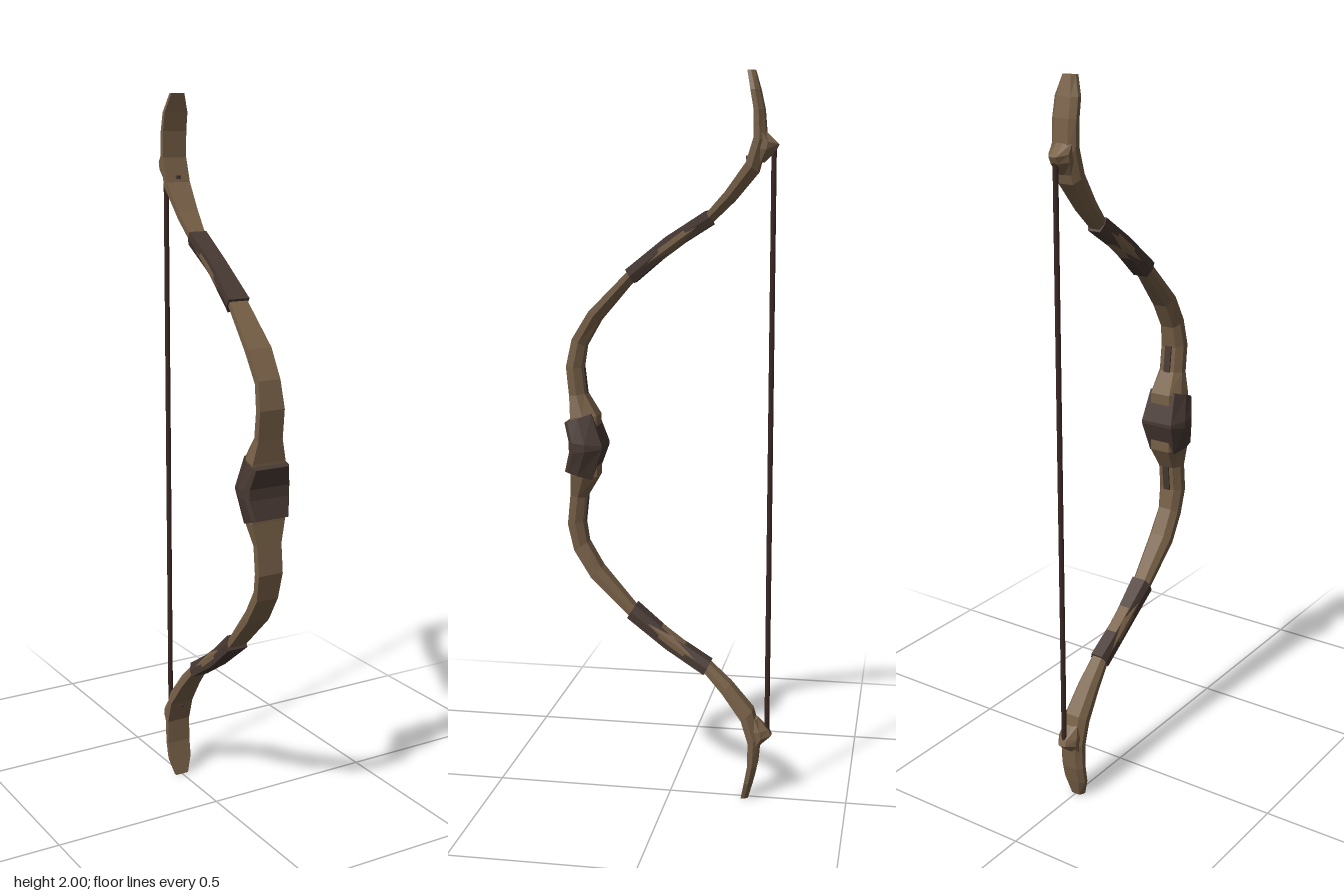
import * as THREE from 'three';

const mat = (name, color) => {
  const m = new THREE.MeshStandardMaterial({ color });
  m.name = name;
  return m;
};

// Cross-section through a bar: front and back points in the (z, y) plane and a half width.
// The front is bevelled to "front" of the width, the back to "back" of it.
function ring([zf, yf, zb, yb, w], front, back) {
  const half = [[front, 0], [1, 0.12], [1, 0.5], [back, 1]];
  const at = (s, [k, t]) => new THREE.Vector3(s * k * w, yf + (yb - yf) * t, zf + (zb - zf) * t);
  return [...half.map(p => at(1, p)), ...half.slice().reverse().map(p => at(-1, p))];
}

// Flat-faced loft through stations ordered from bottom to top, closed at both ends.
function loft(stations, front, back) {
  const rings = stations.map(s => ring(s, front, back));
  const pos = [];
  const tri = (...ps) => ps.forEach(p => pos.push(p.x, p.y, p.z));
  for (let r = 0; r + 1 < rings.length; r++) {
    const a = rings[r], b = rings[r + 1], n = a.length;
    for (let i = 0; i < n; i++) {
      const j = (i + 1) % n;
      tri(a[i], a[j], b[j]);
      tri(a[i], b[j], b[i]);
    }
  }
  const lo = rings[0], hi = rings[rings.length - 1];
  for (let i = 1; i + 1 < lo.length; i++) {
    tri(lo[0], lo[i + 1], lo[i]);
    tri(hi[0], hi[i], hi[i + 1]);
  }
  const g = new THREE.BufferGeometry();
  g.setAttribute('position', new THREE.Float32BufferAttribute(pos, 3));
  g.computeVertexNormals();
  return g;
}

// Stations reflected about y = 1, kept in bottom-to-top order
const flip = list => list.map(([zf, yf, zb, yb, w]) => [zf, 2 - yf, zb, 2 - yb, w]).reverse();

export function createModel() {
  const group = new THREE.Group();
  const wood = mat('wood', 0x776047);
  const leather = mat('dark leather', 0x483933);
  const cord = mat('bowstring', 0x3a2823);

  const add = (name, geometry, material) => {
    const mesh = new THREE.Mesh(geometry, material);
    mesh.name = name;
    group.add(mesh);
    return mesh;
  };

  // Recurved wooden stave, upper half: front z, y, back z, y, half width
  const upper = [
    [0.27, 1.08, 0.2, 1.085, 0.05],
    [0.275, 1.14, 0.235, 1.145, 0.037],
    [0.283, 1.22, 0.243, 1.215, 0.037],
    [0.267, 1.295, 0.233, 1.275, 0.033],
    [0.22, 1.37, 0.193, 1.345, 0.035],
    [0.115, 1.477, 0.1, 1.453, 0.027],
    [-0.098, 1.632, -0.112, 1.608, 0.024],
    [-0.15, 1.69, -0.172, 1.665, 0.03],
    [-0.205, 1.765, -0.235, 1.74, 0.036],
    [-0.225, 1.83, -0.257, 1.82, 0.036],
    [-0.224, 1.9, -0.25, 1.9, 0.036],
    [-0.215, 1.95, -0.239, 1.95, 0.035],
    [-0.205, 2, -0.225, 2, 0.02],
  ];
  add('stave', loft([...flip(upper), ...upper], 1, 0.6), wood);

  // Leather bindings around the limbs
  const wrap = [
    [0.118, 1.484, 0.096, 1.448, 0.031],
    [0.01, 1.571, -0.01, 1.537, 0.024],
    [-0.098, 1.64, -0.117, 1.604, 0.026],
  ];
  add('upperWrap', loft(wrap, 1, 0.7), leather);
  add('lowerWrap', loft(flip(wrap), 1, 0.7), leather);

  // Faceted hand grip
  const gripTop = [
    [0.272, 1.015, 0.182, 1.005, 0.068],
    [0.286, 1.068, 0.213, 1.092, 0.056],
  ];
  add('grip', loft([...flip(gripTop), ...gripTop], 0.88, 0.72), leather);

  // String nocks, pegs and inlays, mirrored top and bottom
  const nock = [
    [-0.235, 1.765, -0.25, 1.765, 0.022],
    [-0.235, 1.8, -0.28, 1.795, 0.03],
    [-0.235, 1.822, -0.288, 1.812, 0.03],
    [-0.235, 1.845, -0.256, 1.842, 0.03],
  ];
  add('upperNock', loft(nock, 1, 0.35), wood);
  add('lowerNock', loft(flip(nock), 1, 0.35), wood);
  for (const s of [1, -1]) {
    const side = s > 0 ? 'upper' : 'lower';
    const inlay = add(side + 'Inlay', new THREE.BoxGeometry(0.02, 0.075, 0.006), leather);
    inlay.position.set(0, 1 + s * 0.18, 0.238);
    inlay.rotation.x = s * 0.11;
    const peg = add(side + 'Peg', new THREE.BoxGeometry(0.012, 0.01, 0.01), leather);
    peg.position.set(0, 1 + s * 0.778, -0.207);
  }

  // Taut string
  const string = add('string', new THREE.CylinderGeometry(0.007, 0.007, 1.61, 6), cord);
  string.position.set(0, 1, -0.275);
  return group;
}
